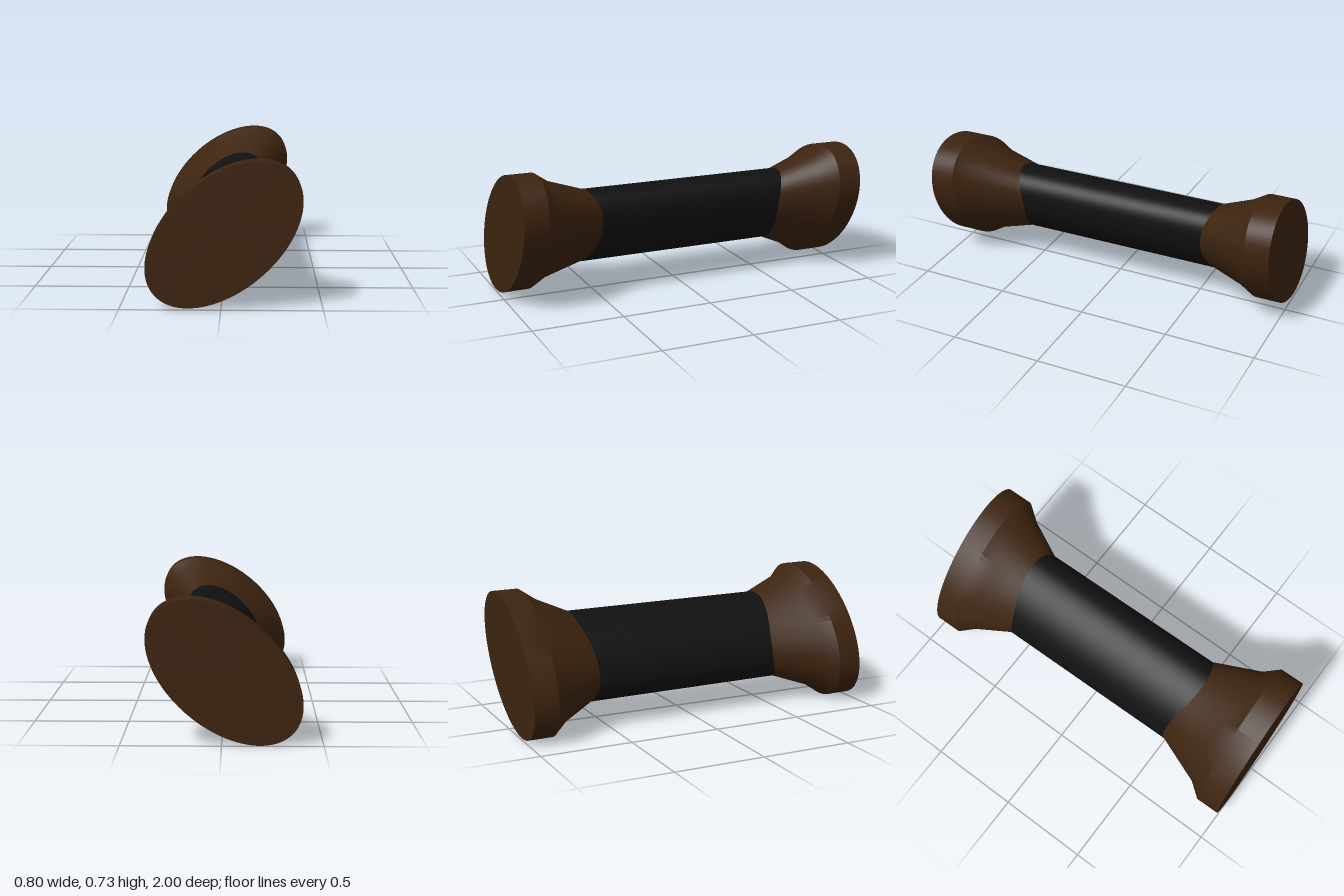
import * as THREE from 'three';
import { toCreasedNormals } from 'three/addons/utils/BufferGeometryUtils.js';

const A = 0.451, B = 0.274; // half axes of the oval end discs

// Turn a unit profile [radius, distance along axis] into a tilted oval solid along z
function ovalSolid(profile, tilt, dir) {
  const points = profile.map(([r, d]) => new THREE.Vector2(r, d));
  const geo = new THREE.LatheGeometry(points, 96);
  geo.rotateX(dir * Math.PI / 2);
  geo.scale(A, B, 1);
  geo.rotateZ(THREE.MathUtils.degToRad(tilt));
  return toCreasedNormals(geo, 0.5);
}

export function createModel() {
  const model = new THREE.Group();
  const wood = new THREE.MeshStandardMaterial({ color: 0x3d2410 });
  const black = new THREE.MeshStandardMaterial({ color: 0x111111 });

  const spool = new THREE.Group();
  spool.name = 'spool';
  spool.position.y = 0.366;
  spool.rotation.set(-0.004, 0.014, 0); // slight lean of the whole axis
  model.add(spool);

  const add = (name, geo, mat) => {
    const mesh = new THREE.Mesh(geo, mat);
    mesh.name = name;
    spool.add(mesh);
  };

  // Black oval shaft, running inside both flared ends
  add('shaft', ovalSolid([[0, -0.75], [0.607, -0.75], [0.607, 0.75], [0, 0.75]], 46.3, 1), black);

  // Flared ends: neck cone, bevel, then a straight-sided disc
  const flare = (neckRadius, neckStart) => [
    [0, neckStart], [neckRadius, neckStart], [0.845, 0.78], [1, 0.86], [1, 0.995], [0, 0.995],
  ];
  add('frontEnd', ovalSolid(flare(0.495, 0.42), 41, 1), wood);
  add('backEnd', ovalSolid(flare(0.5, 0.5), 41, -1), wood);

  return model;
}
